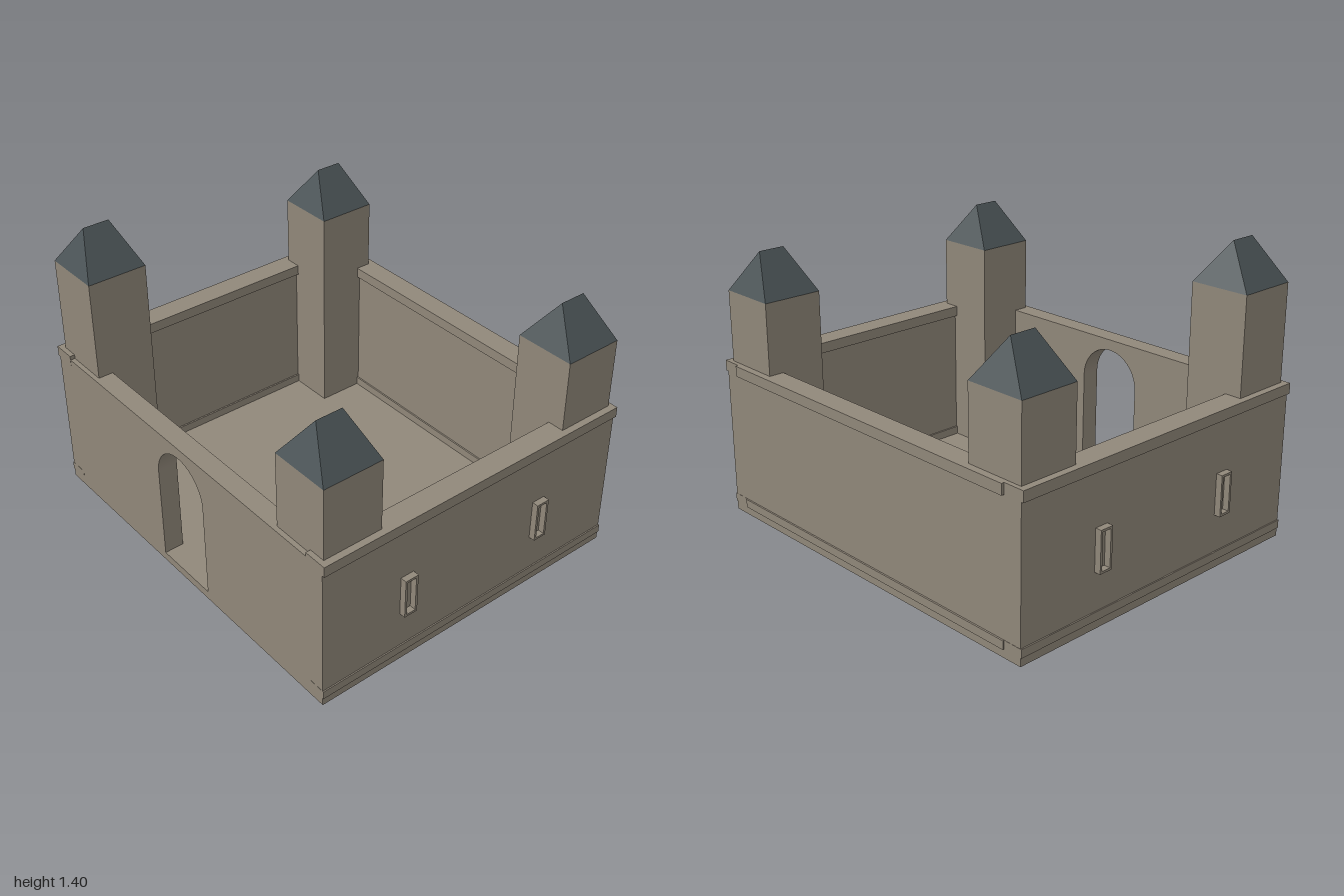
import * as THREE from 'three';

export function createModel() {
  const model = new THREE.Group();
  model.name = 'castle';
  const stone = new THREE.MeshStandardMaterial({ color: 0x91887a });
  stone.name = 'stone';
  const slate = new THREE.MeshStandardMaterial({ color: 0x4b5457 });
  slate.name = 'slate';

  const add = (name, geometry, material, parent = model) => {
    const mesh = new THREE.Mesh(geometry, material);
    mesh.name = name;
    parent.add(mesh);
    return mesh;
  };
  // Box given by its extents on each axis
  const block = (name, [x0, x1], [y0, y1], [z0, z1]) => {
    const g = new THREE.BoxGeometry(x1 - x0, y1 - y0, z1 - z0);
    g.translate((x0 + x1) / 2, (y0 + y1) / 2, (z0 + z1) / 2);
    return add(name, g, stone);
  };
  const rectangle = (path, w, y0, y1) => {
    path.moveTo(-w, y0);
    path.lineTo(w, y0);
    path.lineTo(w, y1);
    path.lineTo(-w, y1);
    path.closePath();
    return path;
  };

  // Floor slab
  block('floor', [-0.97, 0.97], [0, 0.04], [-0.812, 0.825]);

  // Front wall with an arched gateway
  const front = rectangle(new THREE.Shape(), 0.97, 0.04, 0.73);
  const gate = new THREE.Path();
  gate.moveTo(-0.167, 0.041);
  gate.lineTo(0.167, 0.041);
  gate.lineTo(0.167, 0.51);
  gate.absarc(0, 0.51, 0.167, 0, Math.PI, false);
  gate.closePath();
  front.holes.push(gate);
  const frontGeometry = new THREE.ExtrudeGeometry(front, { depth: 0.095, bevelEnabled: false, curveSegments: 24 });
  frontGeometry.translate(0, 0, 0.73);
  add('frontWall', frontGeometry, stone);

  // Back wall with coping and skirting
  block('backWall', [-0.97, 0.97], [0.04, 0.72], [-0.812, -0.735]);
  block('backCoping', [-0.88, 0.88], [0.7, 0.75], [-0.828, -0.72]);
  block('backSkirting', [-0.88, 0.88], [0.04, 0.08], [-0.82, -0.727]);

  // Window frame, extruded outwards
  const frame = rectangle(new THREE.Shape(), 0.034, 0.26, 0.455);
  frame.holes.push(rectangle(new THREE.Path(), 0.023, 0.271, 0.444));
  const frameGeometry = new THREE.ExtrudeGeometry(frame, { depth: 0.035, bevelEnabled: false });

  // Side walls with coping, skirting and windows
  for (const [side, s] of [['left', 1], ['right', -1]]) {
    const span = (a, b) => (s > 0 ? [a, b] : [-b, -a]);
    block(side + 'Wall', span(0.885, 0.97), [0.04, 0.72], [-0.812, 0.825]);
    block(side + 'Coping', span(0.87, 0.983), [0.7, 0.75], [-0.814, 0.826]);
    block(side + 'Skirting', span(0.877, 0.976), [0.04, 0.08], [-0.813, 0.826]);
    for (const z of [0.385, -0.37]) {
      const win = add(side + 'WindowFrame', frameGeometry, stone);
      win.rotation.y = s * Math.PI / 2;
      win.position.set(s * 0.965, 0, z);
    }
  }

  // Hipped roof: a box whose top is pinched into a ridge running front to back
  let roof = new THREE.BoxGeometry(0.29, 0.195, 0.29);
  const p = roof.attributes.position;
  for (let i = 0; i < p.count; i++) {
    if (p.getY(i) > 0) p.setXYZ(i, 0, p.getY(i), p.getZ(i) * 0.44);
  }
  roof = roof.toNonIndexed();
  roof.computeVertexNormals();

  // Corner towers, one of them taller
  const towers = [
    ['frontRightTower', -0.805, 0.657, 1.21],
    ['frontLeftTower', 0.805, 0.657, 1.088],
    ['backRightTower', -0.805, -0.648, 1.088],
    ['backLeftTower', 0.805, -0.648, 1.088],
  ];
  for (const [name, x, z, top] of towers) {
    const tower = new THREE.Group();
    tower.name = name;
    tower.position.set(x, 0, z);
    model.add(tower);
    const shaft = add('towerShaft', new THREE.BoxGeometry(0.29, top - 0.03, 0.29), stone, tower);
    shaft.position.y = (top + 0.03) / 2;
    add('towerRoof', roof, slate, tower).position.y = top + 0.0975;
  }
  return model;
}
